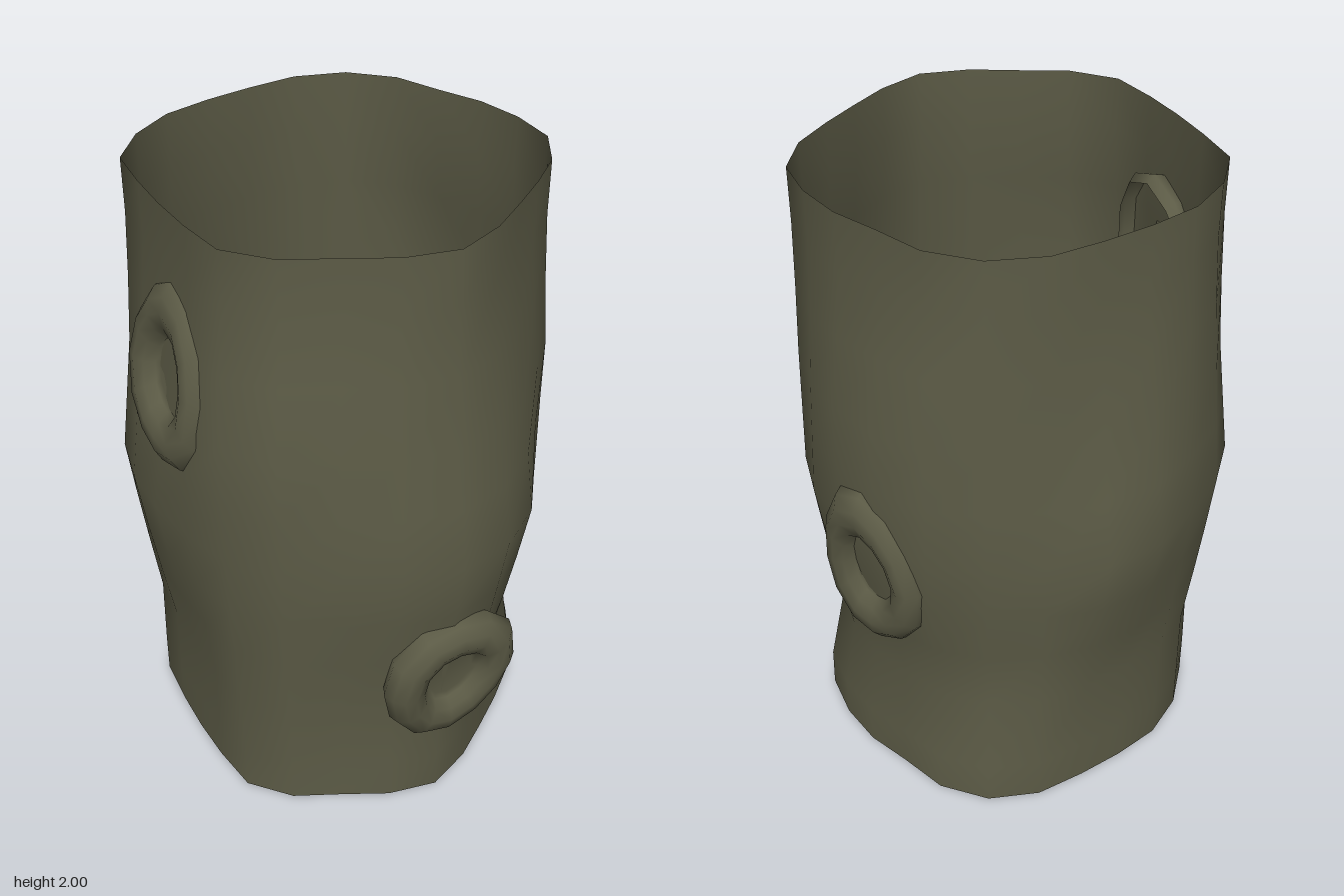
import * as THREE from 'three';
import { mergeVertices } from 'three/addons/utils/BufferGeometryUtils.js';

// Radii every 15 degrees, from +x towards +z
const END = [.60, .615, .59, .555, .55, .58, .62, .605, .59, .62, .63, .585, .57, .585, .635, .632, .62, .597, .60, .634, .65, .63, .585, .59];
const LOW = [.555, .56, .55, .53, .55, .59, .62, .605, .595, .63, .64, .585, .565, .585, .63, .63, .62, .597, .595, .615, .61, .595, .56, .555];
const MID = [.65, .64, .62, .62, .665, .70, .715, .69, .67, .68, .68, .655, .66, .68, .71, .70, .69, .715, .715, .67, .68, .685, .67, .655];
const HIGH = [.628, .63, .62, .60, .61, .645, .667, .65, .645, .68, .685, .635, .60, .63, .66, .665, .655, .655, .645, .65, .665, .675, .66, .64];

// Height, ring blended from, ring blended to, amount
const LEVELS = [
  [0, END, END, 0], [.14, END, LOW, .05], [.4, LOW, LOW, 0], [.62, LOW, MID, .4], [.8, LOW, MID, .7],
  [1.0, MID, MID, 0], [1.2, MID, HIGH, .5], [1.4, HIGH, HIGH, 0], [1.62, HIGH, END, .6], [1.83, END, END, 0], [2, END, END, 0],
];

// Open hollow trunk built from rings
function trunkGeometry() {
  const n = END.length, pos = [], index = [];
  for (const [y, a, b, t] of LEVELS) {
    for (let i = 0; i < n; i++) {
      const r = a[i] + (b[i] - a[i]) * t, angle = i / n * Math.PI * 2;
      pos.push(r * Math.cos(angle), y, r * Math.sin(angle));
    }
  }
  for (let j = 0; j < LEVELS.length - 1; j++) {
    for (let i = 0; i < n; i++) {
      const k = (i + 1) % n, a = j * n + i, b = j * n + k, c = a + n, d = b + n;
      index.push(a, c, b, b, c, d);
    }
  }
  const g = new THREE.BufferGeometry();
  g.setAttribute('position', new THREE.Float32BufferAttribute(pos, 3));
  g.setIndex(index);
  g.computeVertexNormals();
  return g;
}

// Raised bark ring with a sunken middle, facing +z
function knotGeometry(width, height, phase) {
  const profile = [[.93, -.045], [1, -.015], [.95, .02], [.82, .048], [.66, .055], [.5, .04], [.4, .01], [.34, 0], [0, 0]]
    .map(([r, h]) => new THREE.Vector2(r, h));
  let g = new THREE.LatheGeometry(profile, 12);
  g.deleteAttribute('uv');
  g.deleteAttribute('normal');
  g.rotateX(Math.PI / 2);
  g = mergeVertices(g, 1e-4);
  const p = g.attributes.position;
  for (let i = 0; i < p.count; i++) {
    const x = p.getX(i), y = p.getY(i), a = Math.atan2(y, x);
    const wobble = 1 + .04 * Math.sin(3 * a + phase);
    p.setXY(i, x * width * wobble, y * height * wobble);
  }
  g.computeVertexNormals();
  return g;
}

export function createModel() {
  const group = new THREE.Group();
  const bark = new THREE.MeshStandardMaterial({ color: 0x5c5b46, side: THREE.DoubleSide });
  bark.name = 'bark';

  const trunk = new THREE.Mesh(trunkGeometry(), bark);
  trunk.name = 'trunk';
  group.add(trunk);

  // Name, centre, facing direction, half width, half height, phase
  const knots = [
    ['frontKnot', [.02, .515, .638], [0, -.15, 1], .235, .265, .6],
    ['leftKnot', [.562, .86, -.27], [.9, -.1, -.43], .195, .31, 2],
    ['rightKnot', [-.588, 1.485, .05], [-1, .13, .08], .21, .305, 4],
  ];
  for (const [name, centre, facing, w, h, phase] of knots) {
    const knot = new THREE.Mesh(knotGeometry(w, h, phase), bark);
    knot.name = name;
    knot.position.set(...centre);
    knot.lookAt(new THREE.Vector3(...centre).add(new THREE.Vector3(...facing)));
    group.add(knot);
  }
  return group;
}
